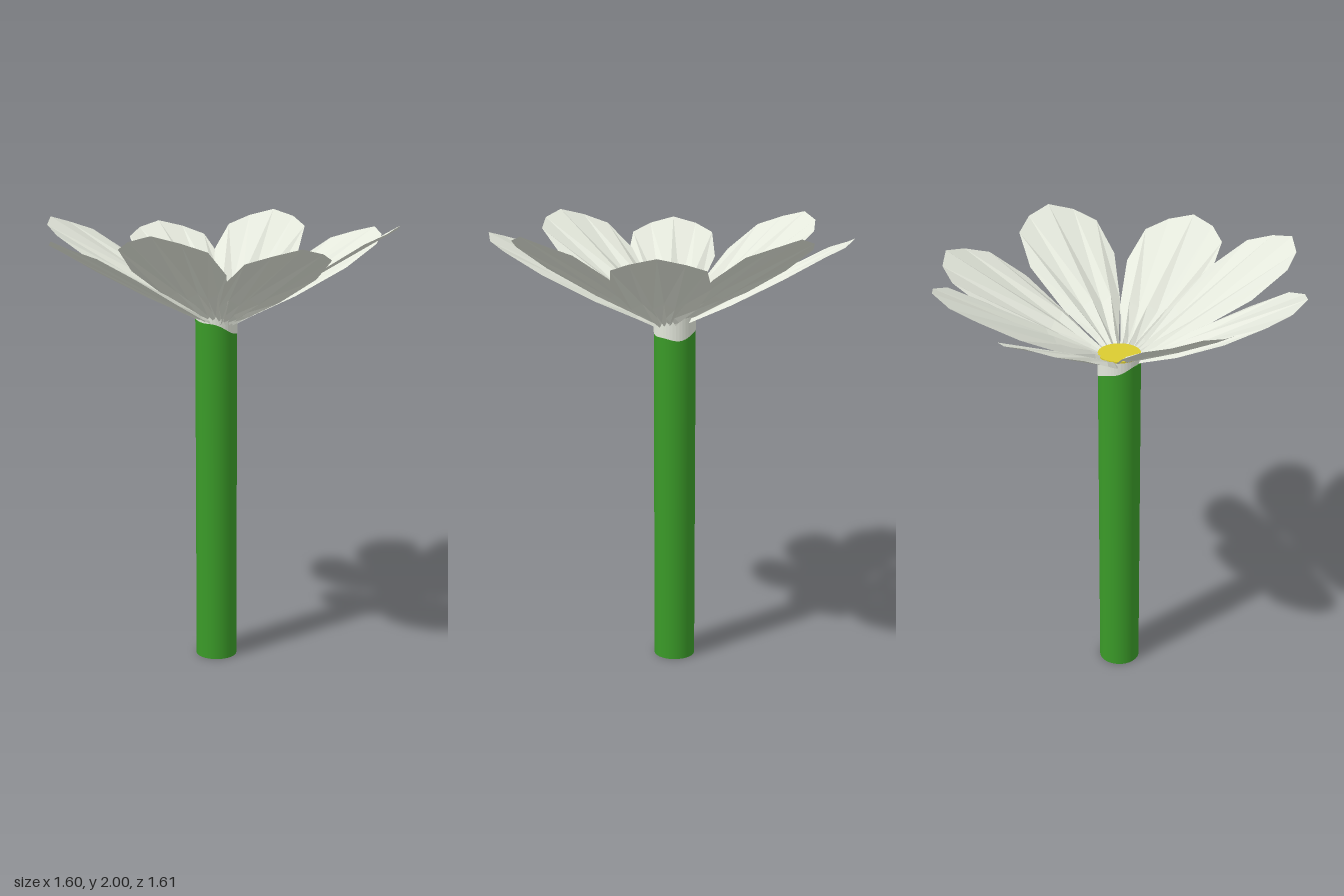
import * as THREE from 'three';

const white = new THREE.MeshStandardMaterial({ color: 0xe4e8dc, flatShading: true, side: THREE.DoubleSide });
white.name = 'petalWhite';
const green = new THREE.MeshStandardMaterial({ color: 0x3a9a28 });
green.name = 'stemGreen';
const yellow = new THREE.MeshStandardMaterial({ color: 0xdacc30 });
yellow.name = 'centreYellow';

const STEM = { x: -0.013, z: -0.03, r: 0.093 };

// Outer rim of a petal as [sideways, outward], one point per rib
const RIM = [
  [-0.205, 0.52], [-0.19, 0.69], [-0.11, 0.774], [0, 0.81],
  [0.11, 0.774], [0.19, 0.69], [0.205, 0.52],
];

// Pleated petal pointing along +x, rising outward; rows run from base to rim
function petalGeometry(baseY, slope, length) {
  const rows = [
    { out: 0.04, half: 0.025, pleat: 0.008 },
    { out: 0.13, half: 0.055, pleat: 0.01 },
    { out: 0.3, half: 0.137, pleat: 0.012 },
    null, // rim
  ];
  const pos = [], index = [];
  rows.forEach((row) => RIM.forEach(([side, out], i) => {
    const u = i / 3 - 1;
    const r = (row ? row.out : out) * length / 0.81;
    const w = row ? row.half * u : side;
    const fold = (i % 2 ? 1 : -1) * (row ? row.pleat : 0.004);
    pos.push(r, baseY + slope * r + fold, w);
  }));
  const n = RIM.length;
  for (let j = 0; j < rows.length - 1; j++) {
    for (let i = 0; i < n - 1; i++) {
      const a = j * n + i, b = a + 1, c = a + n, d = c + 1;
      index.push(a, b, c, b, d, c);
    }
  }
  const g = new THREE.BufferGeometry();
  g.setAttribute('position', new THREE.Float32BufferAttribute(pos, 3));
  g.setIndex(index);
  g.computeVertexNormals();
  return g;
}

export function createModel() {
  const flower = new THREE.Group();
  flower.name = 'flower';
  const add = (geometry, material, name, x = 0, y = 0, z = 0) => {
    const mesh = new THREE.Mesh(geometry, material);
    mesh.name = name;
    mesh.position.set(x, y, z);
    flower.add(mesh);
    return mesh;
  };

  // Stem
  add(new THREE.CylinderGeometry(STEM.r, STEM.r, 1.57, 40), green, 'stem', STEM.x, 0.785, STEM.z);

  // White collar with a slanting, uneven lower edge
  const collar = new THREE.CylinderGeometry(STEM.r + 0.001, STEM.r + 0.001, 0.1, 40, 1, true);
  const p = collar.attributes.position;
  for (let i = 0; i < p.count; i++) {
    const x = p.getX(i), z = p.getZ(i);
    const wobble = 0.005 * Math.sin(4 * Math.atan2(z, x));
    p.setY(i, p.getY(i) > 0 ? 1.598 : 1.535 - 0.38 * x + wobble);
  }
  collar.computeVertexNormals();
  add(collar, white, 'collar', STEM.x, 0, STEM.z);

  // Yellow centre
  add(new THREE.CylinderGeometry(STEM.r, STEM.r, 0.009, 40), yellow, 'centre', STEM.x, 1.6, STEM.z);

  // Petals: a lower ring on the axes and an upper ring on the diagonals
  const rings = [
    { name: 'lowerPetal', y: 1.53, slope: 0.512, petals: [[3, 0.802], [87, 0.808], [184, 0.802], [267.5, 0.8]] },
    { name: 'upperPetal', y: 1.54, slope: 0.565, petals: [[46.5, 0.81], [135, 0.825], [225, 0.81], [317.5, 0.785]] },
  ];
  for (const ring of rings) {
    for (const [angle, length] of ring.petals) {
      // Every tip of a ring ends at the same height
      const slope = ring.slope * 0.81 / length;
      add(petalGeometry(ring.y, slope, length), white, ring.name).rotation.y = THREE.MathUtils.degToRad(angle);
    }
  }
  return flower;
}
